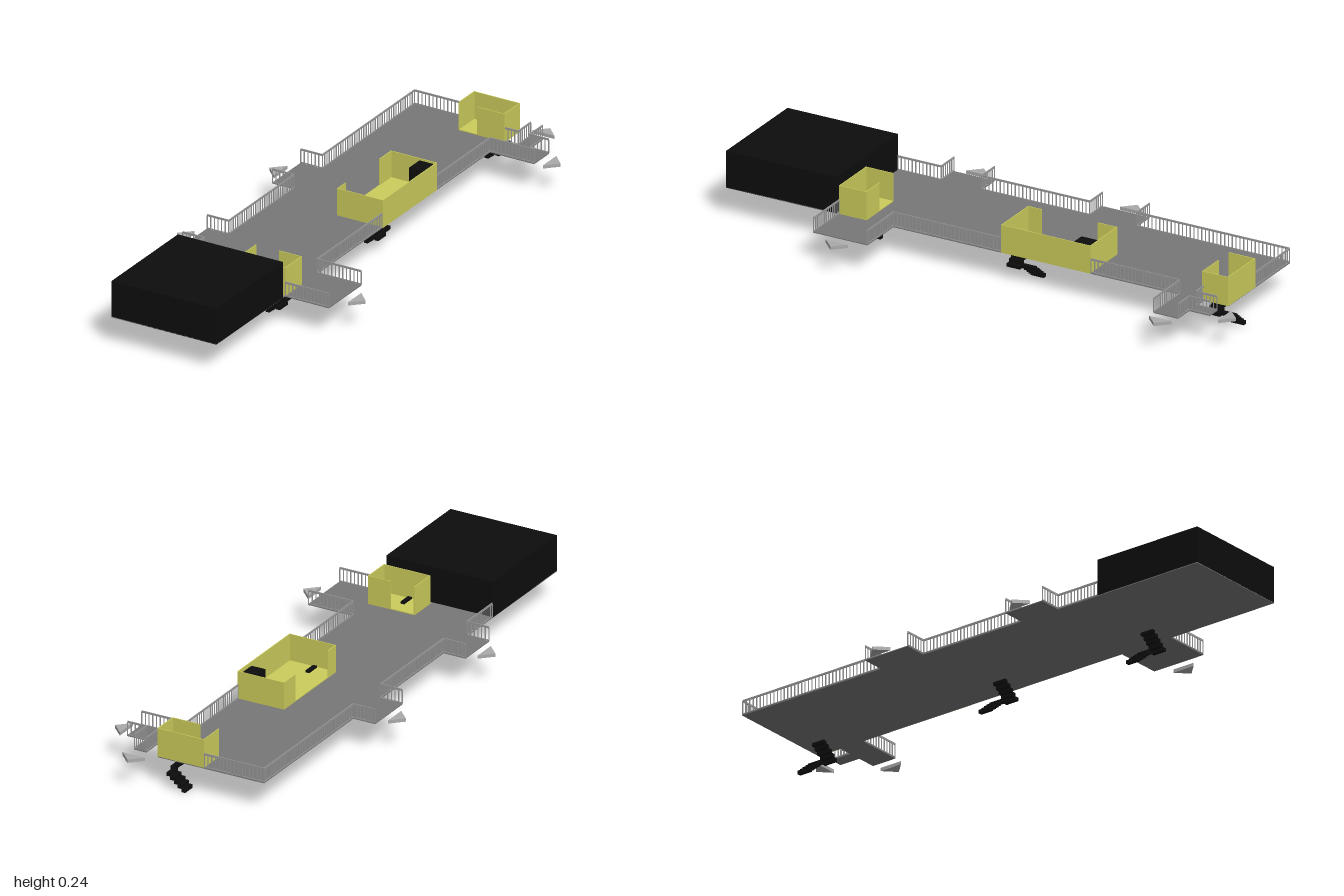
import * as THREE from 'three';
import { mergeGeometries } from 'three/addons/utils/BufferGeometryUtils.js';

const mat = (color) => new THREE.MeshStandardMaterial({ color });
const DECK_Y = 0.107;

// Box given by its low and high corners
function boxGeo(x0, x1, y0, y1, z0, z1) {
  return new THREE.BoxGeometry(x1 - x0, y1 - y0, z1 - z0)
    .translate((x0 + x1) / 2, (y0 + y1) / 2, (z0 + z1) / 2);
}

// Straight railing between two floor points [x, z]
function railing(a, b) {
  const [dx, dz] = [b[0] - a[0], b[1] - a[1]];
  const length = Math.hypot(dx, dz);
  const count = Math.max(2, Math.round(length / 0.0145));
  const parts = [
    boxGeo(0, length, 0.153, 0.16, -0.0015, 0.0015),
    boxGeo(0, length, 0.108, 0.111, -0.0015, 0.0015),
  ];
  for (let i = 0; i <= count; i++) {
    const x = (i / count) * length;
    parts.push(boxGeo(x - 0.0015, x + 0.0015, DECK_Y, 0.155, -0.0015, 0.0015));
  }
  return mergeGeometries(parts)
    .rotateY(Math.atan2(-dz, dx))
    .translate(a[0], 0, a[1]);
}

// Folded stairway: upper flight descends to +x, lower flight returns to -x
function stairs(zUpper) {
  const parts = [];
  const step = (x, y, z) =>
    parts.push(boxGeo(x - 0.0073, x + 0.0073, y - 0.0063, y + 0.0063, z, z + 0.05));
  for (let i = 0; i < 6; i++) step(0.0545 + 0.0143 * i, 0.111 - 0.0115 * i, zUpper);
  for (let i = 0; i < 5; i++) step(0.1117 - 0.0143 * i, 0.0535 - 0.0117 * i, zUpper - 0.05);
  return mergeGeometries(parts);
}

export function createModel() {
  const model = new THREE.Group();
  const grey = mat(0x777777), railGrey = mat(0x999999), arrowGrey = mat(0xaaaaaa);
  const yellow = mat(0xcccc5c), black = mat(0x0d0d0d);
  const add = (name, geometry, material) => {
    const mesh = new THREE.Mesh(geometry, material);
    mesh.name = name;
    model.add(mesh);
    return mesh;
  };

  // Deck with side landings, as one thin outlined slab
  const outline = [
    [-0.253, 1], [-0.253, 0.41], [-0.337, 0.41], [-0.337, 0.255], [-0.253, 0.255],
    [-0.253, -0.16], [-0.337, -0.16], [-0.337, -0.34], [-0.253, -0.34], [-0.253, -0.928],
    [0.155, -0.928], [0.155, -0.835], [0.206, -0.835], [0.206, -0.915], [0.254, -0.915],
    [0.254, -0.835], [0.327, -0.835], [0.327, -0.74], [0.155, -0.74], [0.155, 0.357],
    [0.327, 0.357], [0.327, 0.565], [0.155, 0.565], [0.155, 1],
  ];
  const deckShape = new THREE.Shape(outline.map(([x, z]) => new THREE.Vector2(x, -z)));
  const deck = new THREE.ExtrudeGeometry(deckShape, { depth: 0.003, bevelEnabled: false });
  add('deck', deck.rotateX(-Math.PI / 2).translate(0, DECK_Y - 0.003, 0), grey);

  // Solid block at the front end
  add('frontBlock', boxGeo(-0.253, 0.155, 0.105, 0.237, 0.577, 1), black);

  // Railings follow the edges, leaving the landing ends open
  const runs = [
    [[-0.252, 0.577], [-0.252, 0.41], [-0.336, 0.41]],
    [[-0.336, 0.255], [-0.252, 0.255], [-0.252, -0.16], [-0.336, -0.16]],
    [[-0.336, -0.34], [-0.252, -0.34], [-0.252, -0.926], [-0.022, -0.926]],
    [[0.155, -0.834], [0.207, -0.834], [0.207, -0.914]],
    [[0.253, -0.914], [0.253, -0.834], [0.326, -0.834]],
    [[0.326, -0.741], [0.154, -0.741], [0.154, -0.4]],
    [[0.154, -0.055], [0.154, 0.358], [0.326, 0.358]],
    [[0.326, 0.564], [0.157, 0.564]],
  ];
  const rails = runs.flatMap((run) => run.slice(1).map((p, i) => railing(run[i], p)));
  add('railings', mergeGeometries(rails), railGrey);

  // Roofless booths: full walls, with a doorway gap in one side
  const X0 = -0.022, X1 = 0.157, T = 0.003;
  const booth = (name, z0, z1, top, walls) => {
    const parts = [boxGeo(X0, X1, 0.105, 0.11, z0, z1), boxGeo(X1 - T, X1, 0.105, top, z0, z1)];
    for (const [x0, x1, a, b] of walls) parts.push(boxGeo(x0, x1, 0.105, top, a, b));
    add(name, mergeGeometries(parts), yellow);
  };
  booth('frontBooth', 0.459, 0.565, 0.21, [
    [X0, X0 + T, 0.459, 0.565], [X0, X1, 0.562, 0.565], [0.07, X1, 0.459, 0.462],
  ]);
  booth('middleBooth', -0.4, -0.057, 0.206, [
    [X0, X1, -0.4, -0.397], [X0, X1, -0.06, -0.057],
    [X0, X0 + T, -0.4, -0.325], [X0, X0 + T, -0.11, -0.057],
  ]);
  booth('rearBooth', -0.928, -0.828, 0.21, [
    [X0, X0 + T, -0.928, -0.828], [X0, X1, -0.928, -0.925], [0.05, X1, -0.831, -0.828],
  ]);
  add('cabinet', boxGeo(0.092, 0.145, 0.108, 0.2, -0.395, -0.328), black);

  // Stairways below the booths
  [['frontStairs', 0.51], ['middleStairs', -0.115], ['rearStairs', -0.883]]
    .forEach(([name, z]) => add(name, stairs(z), black));

  // Flat arrow markers pointing away from each landing
  const triangle = new THREE.Shape([[0, -0.043], [0.043, 0], [0, 0.043]]
    .map(([x, y]) => new THREE.Vector2(x, y)));
  const arrow = new THREE.ExtrudeGeometry(triangle, { depth: 0.012, bevelEnabled: false })
    .rotateX(-Math.PI / 2);
  [
    [-0.362, 0.335, Math.PI], [-0.362, -0.255, Math.PI],
    [0.359, 0.455, 0], [0.359, -0.785, 0], [0.23, -0.957, Math.PI / 2],
  ].forEach(([x, z, angle], i) => {
    const mesh = add(`arrowMarker${i + 1}`, arrow, arrowGrey);
    mesh.position.set(x, 0.095, z);
    mesh.rotation.y = angle;
  });

  return model;
}
